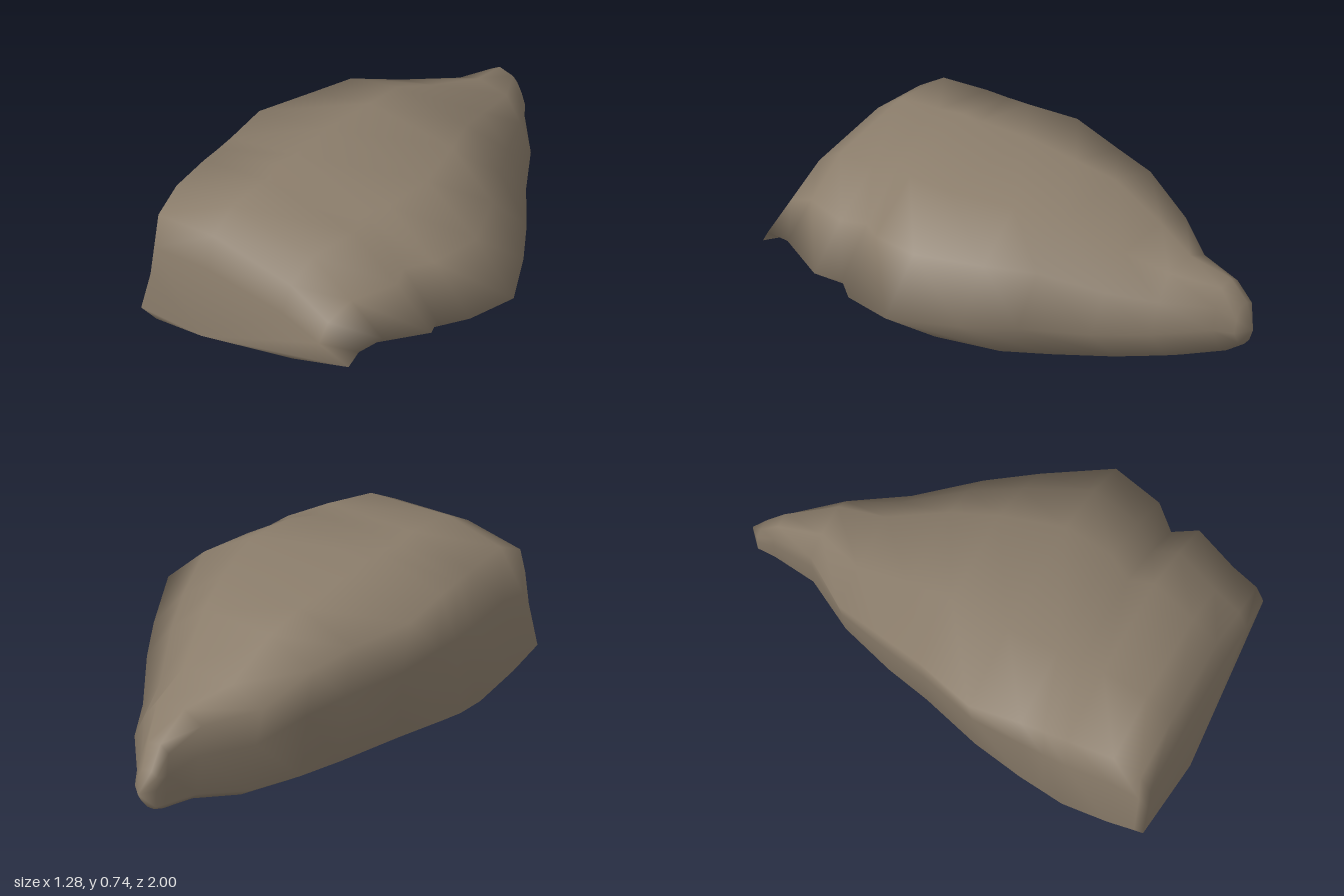
import * as THREE from 'three';

// Corners of every slice, as fractions of its width and height: underside,
// left edge, top, then down the right flank with its waist and foot.
const PROFILE = [[0.08, 0.02], [0.4, 0], [0.73, 0.1], [1, 0.41], [0.85, 0.7],
  [0.66, 0.95], [0.27, 1], [0, 0.91], [0.01, 0.55], [0, 0.1]];
const SIDES = PROFILE.length;

// One slice; tuck shifts the foot of the right flank inwards.
function slice(z, left, right, bottom, top, tuck) {
  const skew = Math.max(0, z - 0.3) * 1.5; // the left side thins towards the front
  return PROFILE.map(([u, v]) => new THREE.Vector3(
    THREE.MathUtils.lerp(left, right, u) + tuck * (1 - u) * (1 - v),
    THREE.MathUtils.lerp(bottom, top, v + skew * u * (0.35 - 0.6 * v)),
    z,
  ));
}

// Closed skin over a row of slices, with a point at each end.
function skin(slices, backPoint, frontPoint) {
  const points = [...slices.flat(), backPoint, frontPoint];
  const index = [];
  const back = points.length - 2, front = points.length - 1;
  const last = (slices.length - 1) * SIDES;
  for (let j = 0; j < SIDES; j++) {
    const k = (j + 1) % SIDES;
    for (let a = 0; a < last; a += SIDES) {
      index.push(a + j, a + k, a + SIDES + k, a + j, a + SIDES + k, a + SIDES + j);
    }
    index.push(back, k, j, front, last + j, last + k);
  }
  const geometry = new THREE.BufferGeometry().setFromPoints(points);
  geometry.setIndex(index);
  geometry.computeVertexNormals();
  return geometry;
}

export function createModel() {
  const stone = new THREE.MeshStandardMaterial({ color: 0x8b7d6b });
  stone.name = 'stone';

  const slices = [
    // narrow pointed back
    slice(-0.95, -0.29, -0.17, 0.20, 0.38, 0.01),
    slice(-0.88, -0.29, -0.12, 0.16, 0.47, 0.02),
    slice(-0.70, -0.31, 0.05, 0.11, 0.53, 0.03),
    slice(-0.50, -0.46, 0.18, 0.06, 0.58, 0.08),
    // widening body with an overhang on the right flank
    slice(-0.27, -0.53, 0.36, 0.03, 0.70, 0.08),
    slice(-0.08, -0.57, 0.49, 0.015, 0.73, 0.08),
    slice(0.18, -0.645, 0.64, 0.035, 0.75, 0.07),
    // notch on the left flank
    slice(0.40, -0.61, 0.59, 0.015, 0.76, -0.01),
    slice(0.50, -0.60, 0.50, 0, 0.765, -0.03),
    slice(0.60, -0.59, 0.55, 0.015, 0.77, -0.06),
    // blunt front
    slice(0.80, -0.57, 0.46, 0.06, 0.765, -0.08),
    slice(0.92, -0.57, 0.43, 0.10, 0.68, -0.07),
    slice(0.96, -0.56, 0.41, 0.13, 0.53, -0.08),
  ];

  const rock = new THREE.Mesh(
    skin(slices, new THREE.Vector3(-0.23, 0.28, -1), new THREE.Vector3(-0.30, 0.20, 1)),
    stone,
  );
  rock.name = 'rock';

  const model = new THREE.Group();
  model.name = 'boulder';
  model.add(rock);
  return model;
}
